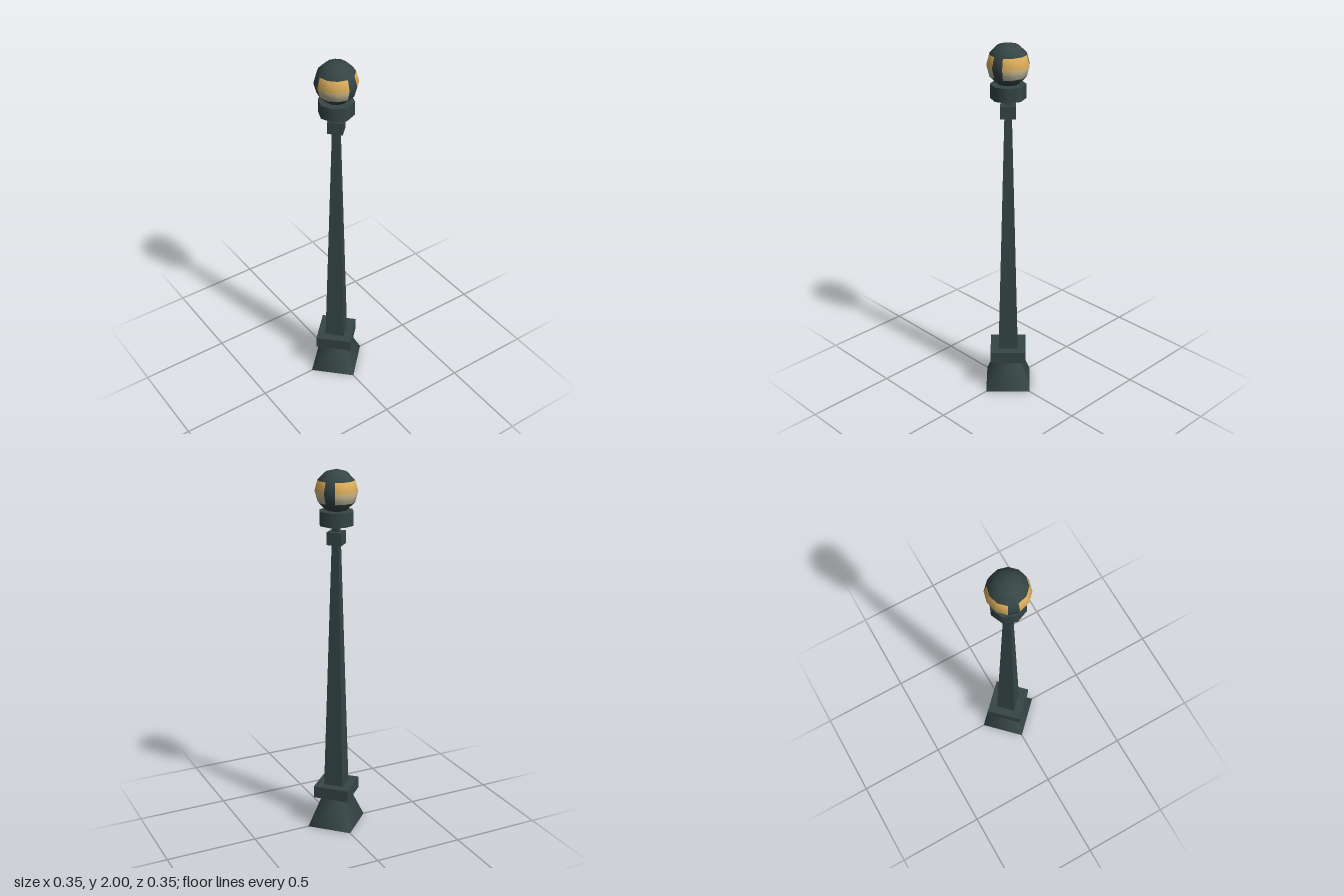
import * as THREE from 'three';

const mat = (name, color) => {
  const m = new THREE.MeshStandardMaterial({ color });
  m.name = name;
  return m;
};

export function createModel() {
  const group = new THREE.Group();
  group.name = 'lampPost';
  const iron = mat('dark iron', 0x364545);
  const amber = mat('amber glass', 0xe0b05c);
  const cream = mat('cream glass', 0xd0bd8c);
  const pale = mat('pale glass', 0xbcb8a0);

  const add = (name, geometry, material) => {
    const mesh = new THREE.Mesh(geometry, material);
    mesh.name = name;
    group.add(mesh);
    return mesh;
  };

  // Tapered prism from y0 to y1, with its corners on the axes
  const prism = (name, y0, y1, r0, r1, sides = 4, flat = true) => {
    let geo = new THREE.CylinderGeometry(r1, r0, y1 - y0, sides);
    if (flat) {
      geo = geo.toNonIndexed();
      geo.computeVertexNormals();
    }
    add(name, geo, iron).position.y = (y0 + y1) / 2;
  };

  prism('foot', 0, 0.18, 0.175, 0.085, 4, false);
  prism('plinth', 0.175, 0.242, 0.14, 0.14);
  prism('shaft', 0.24, 1.62, 0.076, 0.027);
  prism('collar', 1.61, 1.677, 0.057, 0.057);
  prism('neck', 1.67, 1.72, 0.024, 0.024);
  prism('lampCup', 1.712, 1.787, 0.093, 0.093, 8, false);

  // Globe: twelve facets around, rings every 30 degrees of latitude
  const R = 0.112, centreY = 1.888, step = Math.PI / 6;
  const at = (lat) => new THREE.Vector2(R * Math.cos(lat * step), R * Math.sin(lat * step));
  const globePart = (name, points, material, start = 0, facets = 12) => {
    const geo = new THREE.LatheGeometry(points, facets, start * step, facets * step);
    const p = geo.attributes.position, v = new THREE.Vector3();
    for (let i = 0; i < p.count; i++) {
      v.fromBufferAttribute(p, i).normalize();
      geo.attributes.normal.setXYZ(i, v.x, v.y, v.z);
    }
    add(name, geo, material).position.y = centreY;
  };

  const pole = (y) => new THREE.Vector2(0, y);
  globePart('globeCap', [at(1), at(2), pole(R)], iron);
  globePart('globeBottom', [pole(-R), at(-2), at(-1)], iron);

  // Three glass panes of three facets, each followed by an iron rib
  const middle = at(-1).lerp(at(0), 0.5);
  for (const start of [1, 5, 9]) {
    globePart('paneTop', [at(0), at(1)], amber, start, 3);
    globePart('paneMiddle', [middle, at(0)], cream, start, 3);
    globePart('paneBottom', [at(-1), middle], pale, start, 3);
    globePart('globeRib', [at(-1), at(0), at(1)], iron, start + 3, 1);
  }
  return group;
}
